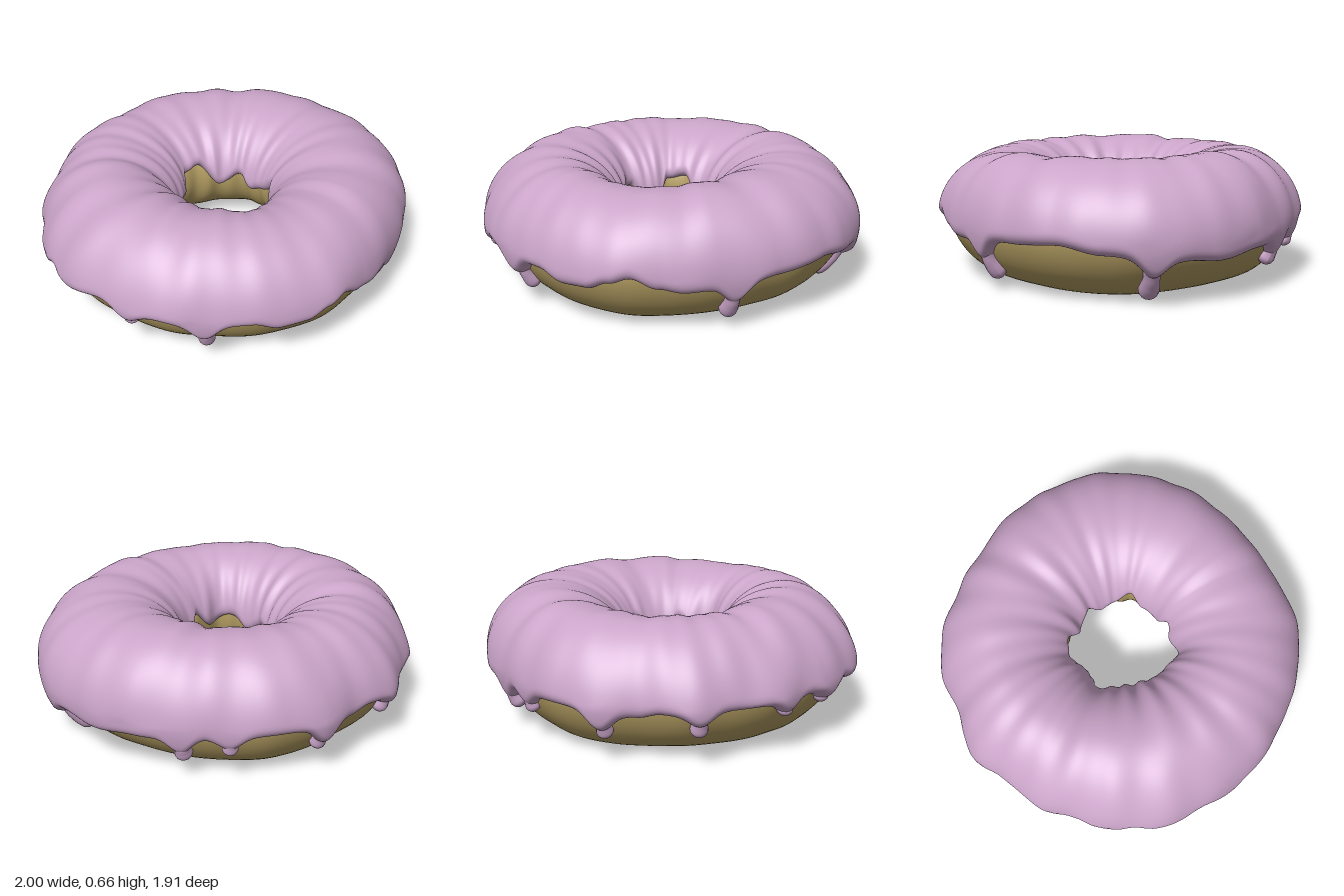
import * as THREE from 'three';

const MID = 0.61, CY = 0.305;                 // tube centre radius and height
const rad = THREE.MathUtils.degToRad, lerp = THREE.MathUtils.lerp;

// [angle, value] lists around the ring; 0 = +x, 90 = front
const OUTER = [[0, 1], [20, 0.99], [30, 0.975], [47, 0.94], [64, 0.915], [80, 0.925], [96, 0.96], [111, 0.955],
  [129, 0.95], [148, 0.972], [157, 0.975], [180, 1], [198, 0.98], [207, 0.955], [215, 0.97], [230, 0.945],
  [241, 0.975], [257, 0.92], [270, 0.957], [282, 0.95], [300, 0.92], [311, 0.92], [328, 0.95], [344, 0.975]];
const INNER = [[0, 0.215], [34, 0.22], [66, 0.235], [92, 0.25], [112, 0.31], [141, 0.27], [180, 0.245],
  [212, 0.27], [235, 0.235], [255, 0.245], [296, 0.215], [330, 0.22], [342, 0.21]];
const TOP = [[0, 0.645], [30, 0.65], [50, 0.635], [65, 0.65], [75, 0.625], [95, 0.625], [125, 0.64], [160, 0.645],
  [195, 0.65], [230, 0.635], [270, 0.64], [300, 0.645], [330, 0.655]];
const OUTER_EDGE = [[0, 0.23], [15, 0.25], [28, 0.285], [45, 0.265], [64, 0.24], [74, 0.23], [82, 0.255], [90, 0.31],
  [96, 0.28], [103, 0.235], [111, 0.23], [119, 0.27], [137, 0.26], [148, 0.275], [165, 0.29], [178, 0.25],
  [187, 0.285], [202, 0.28], [225, 0.28], [250, 0.275], [257, 0.25], [283, 0.275], [305, 0.25], [325, 0.225],
  [340, 0.2], [352, 0.215]];
const INNER_EDGE = [[0, 0.31], [25, 0.38], [42, 0.3], [66, 0.28], [82, 0.37], [102, 0.28], [122, 0.33], [144, 0.26],
  [165, 0.32], [185, 0.28], [203, 0.38], [215, 0.37], [225, 0.27], [247, 0.265], [256, 0.38], [276, 0.4], [300, 0.28],
  [325, 0.34], [345, 0.28]];
// angle, lowest point, radius at the tip
const DRIPS = [[1, 0.025, 0.05], [58.5, 0.045, 0.046], [133, 0.075, 0.042], [156, 0.18, 0.042], [194, 0.19, 0.044],
  [211, 0.19, 0.044], [239, 0.145, 0.044], [268, 0.115, 0.042], [297, 0.15, 0.04], [312, 0.095, 0.046]];

// Smooth periodic lookup
function around(list, theta) {
  const deg = ((theta * 180 / Math.PI) % 360 + 360) % 360;
  let i = list.length - 1;
  while (i > 0 && list[i][0] > deg) i--;
  const [a0, v0] = list[i];
  const next = list[(i + 1) % list.length];
  const a1 = i === list.length - 1 ? 360 + next[0] : next[0];
  const t = (deg - a0) / (a1 - a0);
  return lerp(v0, next[1], t * t * (3 - 2 * t));
}

const polar = (r, y, th) => new THREE.Vector3(r * Math.cos(th), y, r * Math.sin(th));

// phi: 0 outside, 90 top, 180 inside, 270 bottom
function doughPoint(th, phi) {
  const c = Math.cos(phi), s = Math.sin(phi);
  // Slimmer below the waist; the hole follows the icing's hole
  const outer = (0.283 + 0.6 * (around(OUTER, th) - 0.95)) * (1 - 0.11 * Math.max(0, -s));
  const inner = 0.315 - 0.7 * (around(INNER, th) - 0.24);
  const wob = 0.005 * Math.sin(5 * th + 1) + 0.004 * Math.sin(13 * th);
  const creases = c < 0 ? 0.006 * c * c * Math.sin(17 * th + Math.sin(3 * th)) : 0;
  const r = MID + c * (c > 0 ? outer : inner) + wob * c + creases;
  const y = CY + s * (0.294 + 0.007 * Math.sin(4 * th + 0.6));
  return polar(r, y, th);
}

function icingPoint(th, phi, cover) {
  const c = Math.cos(phi), s = Math.sin(phi), up = Math.max(0, s);
  // Irregular folds run over the crown, strongest on the -x side and at the back right
  const strength = 0.004 + 0.005 * Math.max(0, -Math.cos(th - 0.3)) + 0.006 * Math.exp(-(((th - 5.3) / 0.35) ** 2));
  const fold = strength * Math.sqrt(up) * (0.8 * Math.sin(9 * th + 0.7 * phi + Math.sin(2 * th))
    + Math.sin(17 * th + 1.2 * phi + 2 * Math.sin(2 * th)) + 0.5 * Math.sin(29 * th - phi + 2 * Math.sin(3 * th)));
  // The shoulder sags a little, most at the -x side and the back
  const sag = 1 - 0.07 * up * (1 - Math.cos(th - 0.6));
  const r = MID + c * (c > 0 ? (around(OUTER, th) - MID) * sag : MID - around(INNER, th)) + fold * c;
  const y = CY + s * (around(TOP, th) - CY) + fold * s * 0.6;
  return doughPoint(th, phi).lerp(polar(r, y, th), cover);
}

// Grid closed around theta, and optionally around the section
function ringSurface(nu, nv, closed, point) {
  const pos = [], idx = [], rows = closed ? nv : nv + 1;
  for (let i = 0; i < nu; i++)
    for (let j = 0; j < rows; j++) pos.push(...point(i / nu * Math.PI * 2, j / nv).toArray());
  for (let i = 0; i < nu; i++)
    for (let j = 0; j < nv; j++) {
      const i2 = (i + 1) % nu, j2 = (j + 1) % rows;
      const a = i * rows + j, b = i * rows + j2, c = i2 * rows + j, d = i2 * rows + j2;
      idx.push(a, b, c, c, b, d);
    }
  const g = new THREE.BufferGeometry();
  g.setAttribute('position', new THREE.Float32BufferAttribute(pos, 3));
  g.setIndex(idx);
  g.computeVertexNormals();
  return g;
}

const edgePhi = y => Math.asin(THREE.MathUtils.clamp((y - CY) / 0.3, -1, 1));

// Icing hem, pulled down into a funnel above each drip
function outerEdge(th) {
  let dip = 0;
  for (const [deg, low] of DRIPS) {
    const d = THREE.MathUtils.euclideanModulo(th * 180 / Math.PI - deg + 180, 360) - 180;
    dip = Math.max(dip, Math.exp(-((d / 4.5) ** 2)) * (low < 0.14 ? 0.085 : 0.06));
  }
  return around(OUTER_EDGE, th) - dip;
}

// Drip: a tube that leaves the icing, narrows to a neck, swells and closes
function dripGeometry(theta, low, tip) {
  const p0 = edgePhi(outerEdge(theta) + 0.1), p1 = edgePhi(low + 0.015);
  const pts = [];
  for (let i = 0; i <= 8; i++) {
    const p = doughPoint(theta, lerp(p0, p1, i / 8));
    pts.push(p.add(polar(lerp(-0.005, 0.014, Math.min(1, i / 4)), 0, theta)));
  }
  const curve = new THREE.CatmullRomCurve3(pts), n = 32, sides = 16;
  const g = new THREE.TubeGeometry(curve, n, 1, sides, false);
  const pos = g.attributes.position, v = new THREE.Vector3(), len = curve.getLength();
  for (let i = 0; i <= n; i++) {
    const u = i / n, centre = curve.getPointAt(u);
    const body = tip * (1 - 0.2 * Math.sin(Math.PI * Math.min(1, u * 1.2)) ** 2);
    const k = Math.min(1, (1 - u) * len / tip, u * len / tip);
    const size = body * Math.sqrt(Math.max(0, 1 - (1 - k) ** 2));
    for (let j = 0; j <= sides; j++) {
      const q = i * (sides + 1) + j;
      v.fromBufferAttribute(pos, q).sub(centre).multiplyScalar(size).add(centre);
      pos.setXYZ(q, v.x, v.y, v.z);
    }
  }
  g.computeVertexNormals();
  return g;
}

export function createModel() {
  const model = new THREE.Group();
  model.name = 'icedDoughnut';
  const doughMat = new THREE.MeshStandardMaterial({ name: 'goldenDough', color: 0xb39d62 });
  const icingMat = new THREE.MeshStandardMaterial({ name: 'lilacIcing', color: 0xcba5ca });
  const add = (name, geometry, material) => {
    const mesh = new THREE.Mesh(geometry, material);
    mesh.name = name;
    model.add(mesh);
  };

  add('dough', ringSurface(180, 56, true, (th, v) => doughPoint(th, v * Math.PI * 2)), doughMat);

  // Icing rounds down onto the dough at both edges
  add('icing', ringSurface(480, 64, false, (th, v) => {
    const from = edgePhi(outerEdge(th)), to = Math.PI - edgePhi(around(INNER_EDGE, th));
    const t = (1 - Math.cos(v * Math.PI)) / 2;
    const edge = Math.min(1, Math.min(t, 1 - t) * (to - from) / 0.2);
    const cover = Math.sqrt(1 - (1 - edge) ** 2);
    return icingPoint(th, lerp(from, to, t), cover * 1.05 - 0.05);
  }), icingMat);

  DRIPS.forEach(([deg, low, tip], i) => add('icingDrip' + (i + 1), dripGeometry(rad(deg), low, tip), icingMat));
  return model;
}
